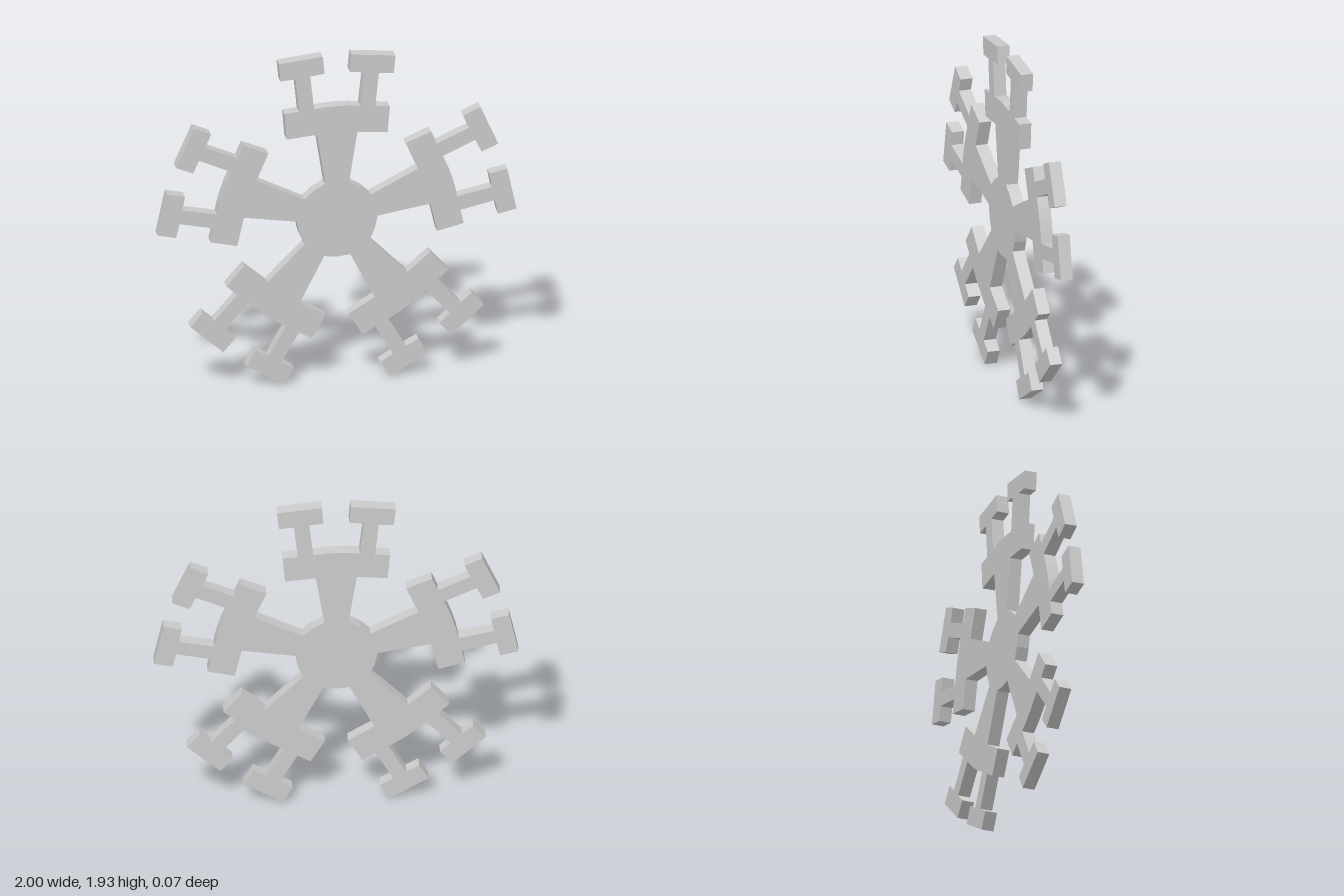
import * as THREE from 'three';

const ARMS = 5;
const CENTRE_Y = 0.957;
const DEPTH = 0.07;

// Right half of the upright arm, from hub to middle of its outer rim, about the hub centre
const HALF_ARM = [
  [0.067, 0.216], [0.113, 0.511], [0.282, 0.496], [0.295, 0.648], // spoke and collar
  [0.213, 0.656], [0.233, 0.851],                                 // outer side of prong
  [0.316, 0.844], [0.326, 0.948], [0.08, 0.973], [0.071, 0.871],  // prong head
  [0.151, 0.861], [0.129, 0.664], [0.065, 0.671], [0, 0.673],     // inner side and rim
];

export function createModel() {
  const group = new THREE.Group();
  const mirrored = HALF_ARM.slice(0, -1).reverse().map(([x, y]) => [-x, y]);
  // Whole arm, then the hub vertex between it and the next arm clockwise
  const half = Math.PI / ARMS;
  const hubPoint = [Math.sin(-half) * 0.222, Math.cos(half) * 0.222];
  const sector = [...HALF_ARM, ...mirrored, hubPoint];

  // Repeat the sector counter-clockwise to close the outline
  const points = [];
  for (let i = 0; i < ARMS; i++) {
    const angle = (i * 2 * Math.PI) / ARMS;
    for (const [x, y] of sector) {
      points.push(new THREE.Vector2(x, y).rotateAround(new THREE.Vector2(), angle));
    }
  }

  const geometry = new THREE.ExtrudeGeometry(new THREE.Shape(points), { depth: DEPTH, bevelEnabled: false });
  geometry.translate(0, CENTRE_Y, -DEPTH / 2);
  const plate = new THREE.Mesh(
    geometry,
    new THREE.MeshStandardMaterial({ color: 0xcccccc, flatShading: true })
  );
  plate.name = 'fiveArmedPlate';
  group.add(plate);
  return group;
}
